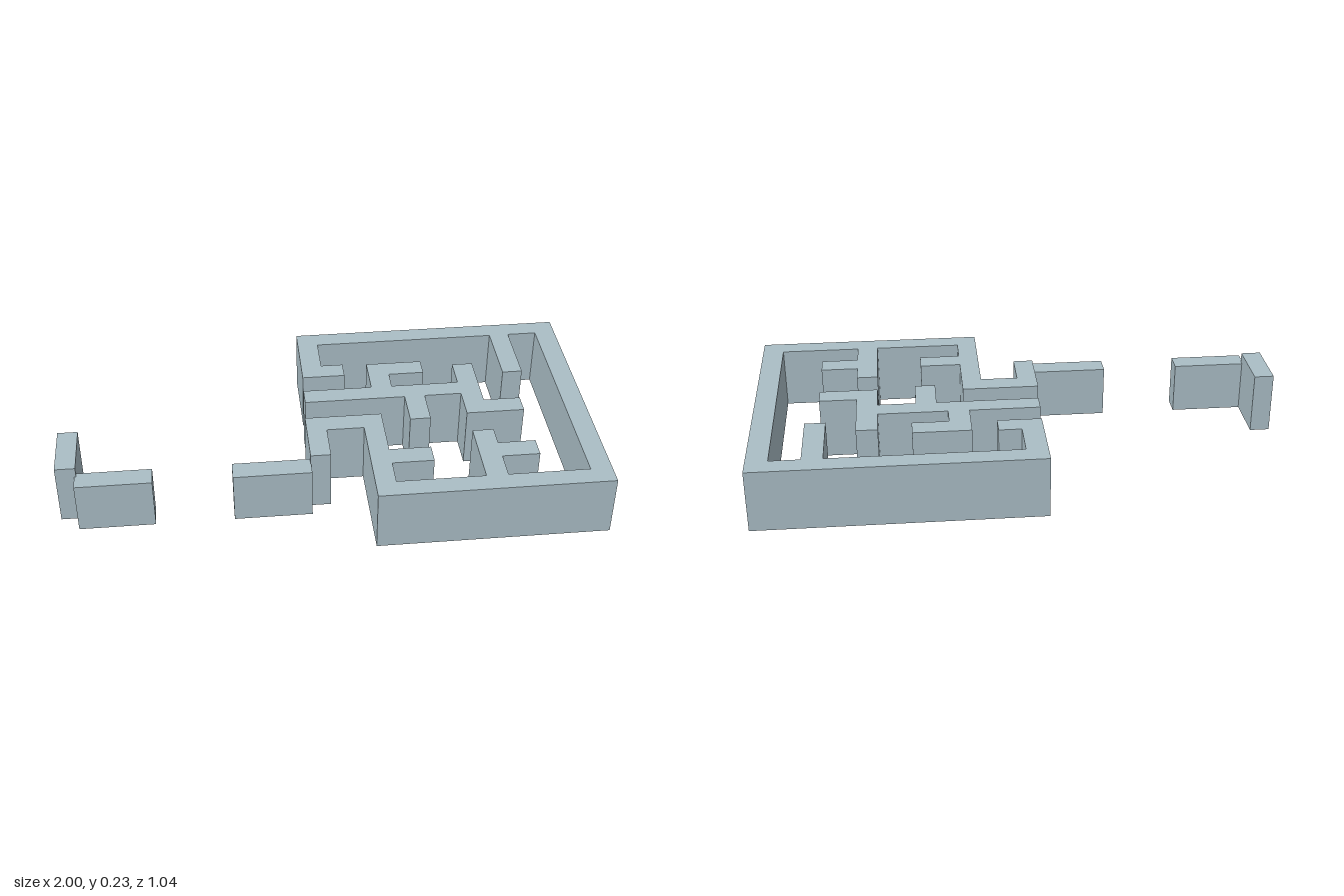
import * as THREE from 'three';

const WALL_H = 0.235, LOW_H = 0.197;

// Raises a floor-plan outline of [x, z] corners into a solid wall
function wall(name, plan, height, material) {
  const shape = new THREE.Shape(plan.map(([x, z]) => new THREE.Vector2(x, -z)));
  const geo = new THREE.ExtrudeGeometry(shape, { depth: height, bevelEnabled: false });
  geo.rotateX(-Math.PI / 2);
  const mesh = new THREE.Mesh(geo, material);
  mesh.name = name;
  return mesh;
}

const rect = (x0, x1, z0, z1) => [[x0, z0], [x1, z0], [x1, z1], [x0, z1]];

export function createModel() {
  const group = new THREE.Group();
  group.name = 'mazeWalls';
  const stone = new THREE.MeshStandardMaterial({ color: 0xabbec6 });
  stone.name = 'blueGreyStone';

  // Outer wall with its hooked ends and inward stubs
  const outer = [
    [-0.06, -0.525], [1, -0.525], [1, 0.52], [0.14, 0.52],
    [0.14, 0.12], [0, 0.12], [0, 0.27], [-0.075, 0.27], [-0.075, 0.04], [0.215, 0.04],
    [0.215, 0.26], [0.37, 0.26], [0.37, 0.34], [0.215, 0.34], [0.215, 0.445],
    [0.54, 0.445], [0.54, 0.178], [0.62, 0.178], [0.62, 0.26], [0.76, 0.26],
    [0.76, 0.34], [0.62, 0.34], [0.62, 0.445], [0.92, 0.445],
    [0.92, -0.45], [0.807, -0.45], [0.807, -0.185], [0.73, -0.185], [0.73, -0.45],
    [0.02, -0.45], [0.02, -0.3], [0.105, -0.3], [0.105, -0.225], [-0.06, -0.225],
  ];

  // Branching wall in the middle
  const inner = [
    [-0.065, -0.135], [0.2, -0.135], [0.2, -0.292], [0.417, -0.292], [0.417, -0.215],
    [0.28, -0.215], [0.28, -0.135], [0.54, -0.135], [0.54, -0.257], [0.62, -0.257],
    [0.62, -0.01], [0.76, -0.01], [0.76, 0.068], [0.54, 0.068], [0.54, -0.06],
    [0.398, -0.06], [0.398, 0.085], [0.32, 0.085], [0.32, -0.06], [-0.065, -0.06],
  ];

  group.add(
    wall('outerWall', outer, WALL_H, stone),
    wall('innerWall', inner, WALL_H, stone),
    // Detached pieces and low entrance walls
    wall('detachedPost', rect(-1, -0.925, 0.04, 0.258), WALL_H, stone),
    wall('detachedLowWall', rect(-0.932, -0.652, 0.24, 0.32), LOW_H, stone),
    wall('entranceLowWall', rect(-0.362, -0.073, 0.24, 0.32), LOW_H, stone),
  );
  return group;
}
